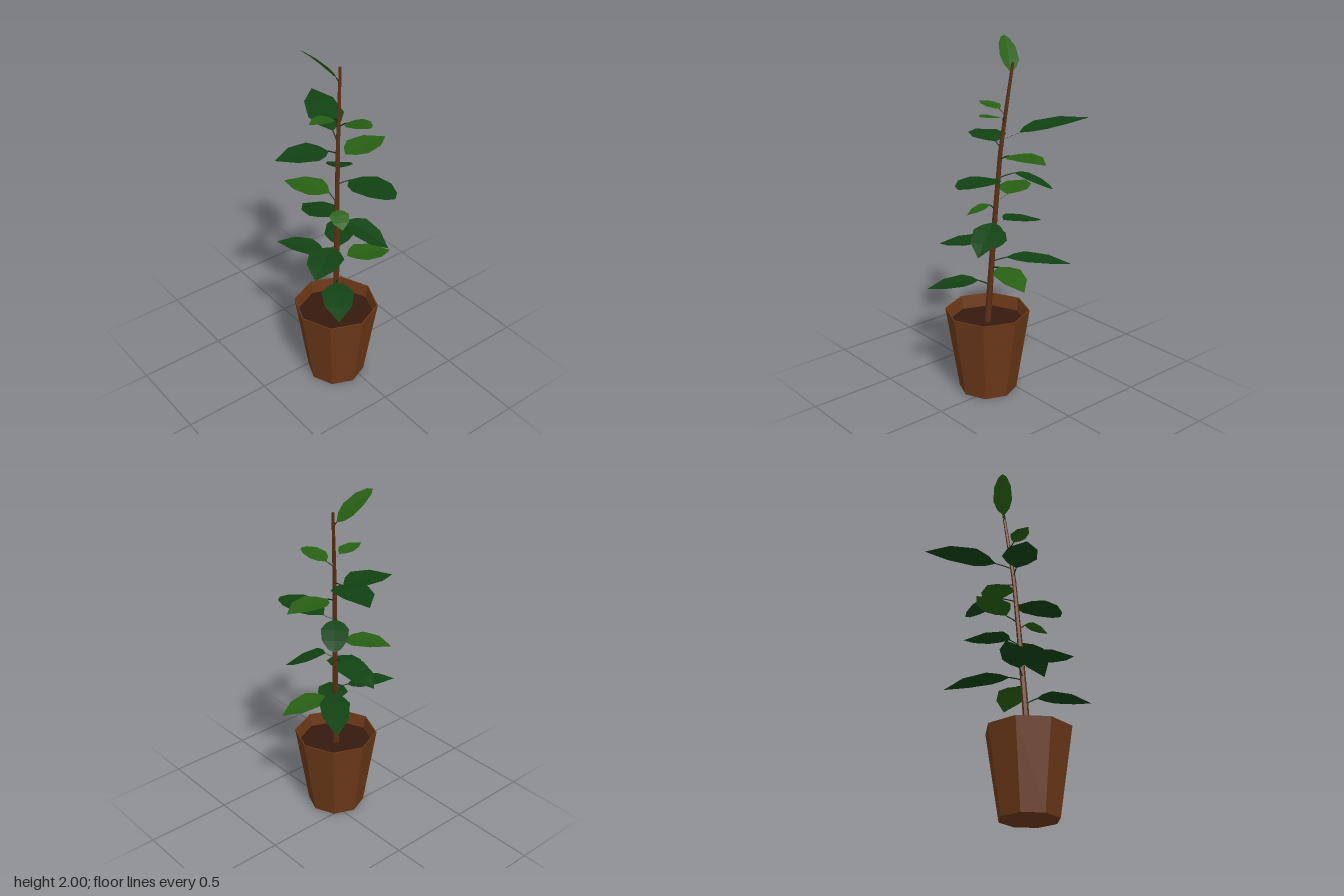
import * as THREE from 'three';

const mat = (color) => new THREE.MeshStandardMaterial({ color, flatShading: true, side: THREE.DoubleSide });
const V = (x, y, z) => new THREE.Vector3(x, y, z);

// Blade outlines: [fraction of length, fraction of half width]
const POINTED = [[0, 0.04], [0.12, 0.6], [0.3, 1], [0.66, 0.82], [1, 0]];
const ROUNDED = [[0, 0.04], [0.14, 0.65], [0.35, 1], [0.68, 0.9], [0.92, 0.45], [1, 0]];

// Folded blade from base to tip; `up` is the side the upper face looks to
function bladeGeometry(base, tip, half, outline, up) {
  const dir = tip.clone().sub(base);
  const length = dir.length();
  const side = dir.clone().cross(up).normalize();
  const normal = side.clone().cross(dir).normalize();
  const pos = [], index = [];
  outline.forEach(([t, w], i) => {
    const mid = base.clone().addScaledVector(dir, t)
      .addScaledVector(normal, Math.sin(t * Math.PI) * 0.03 * length);
    for (const s of [-1, 0, 1]) {
      const p = mid.clone().addScaledVector(side, s * w * half)
        .addScaledVector(normal, Math.abs(s) * w * half * 0.08);
      pos.push(p.x, p.y, p.z);
    }
    if (i === 0) return;
    const a = (i - 1) * 3, b = i * 3;
    for (const k of [0, 1]) {
      index.push(a + k, a + k + 1, b + k + 1, a + k, b + k + 1, b + k);
    }
  });
  const g = new THREE.BufferGeometry();
  g.setAttribute('position', new THREE.Float32BufferAttribute(pos, 3));
  g.setIndex(index);
  g.computeVertexNormals();
  return g;
}

export function createModel() {
  const root = new THREE.Group();
  root.name = 'pottedPlant';
  const add = (name, geometry, material, parent = root) => {
    const m = new THREE.Mesh(geometry, material);
    m.name = name;
    parent.add(m);
    return m;
  };
  const clay = mat(0x6b3818), earth = mat(0x35190d), bark = mat(0x5a2f14);
  const dark = mat(0x114213), light = mat(0x285f14), stalk = mat(0x16300f);

  // Octagonal pot: floor, outer wall, thin rim and inner wall down to the soil
  const profile = [[0, 0], [0.165, 0], [0.24, 0.485], [0.233, 0.485], [0.222, 0.41]];
  add('pot', new THREE.LatheGeometry(profile.map(([r, y]) => new THREE.Vector2(r, y)), 8), clay)
    .position.set(-0.06, 0, 0.113);
  const soil = add('soil', new THREE.CircleGeometry(0.224, 8), earth);
  soil.rotation.x = -Math.PI / 2;
  soil.position.set(-0.06, 0.41, 0.113);

  // Leaning stem built from tapered rings
  const stem = [V(-0.06, 0.4, 0.112), V(-0.045, 0.7, 0.098), V(-0.028, 1.05, 0.079),
    V(-0.008, 1.4, 0.058), V(0.016, 1.65, 0.035), V(0.042, 1.89, 0.012)];
  const stemAt = (y) => {
    let i = 0;
    while (i < stem.length - 2 && stem[i + 1].y < y) i++;
    return stem[i].clone().lerp(stem[i + 1], (y - stem[i].y) / (stem[i + 1].y - stem[i].y));
  };
  const sides = 6, pos = [], index = [];
  stem.forEach((p, i) => {
    const r = 0.019 - 0.011 * i / (stem.length - 1);
    for (let k = 0; k < sides; k++) {
      const a = k / sides * Math.PI * 2;
      pos.push(p.x + r * Math.cos(a), p.y, p.z + r * Math.sin(a));
      if (i === 0) continue;
      const n = (k + 1) % sides, lo = (i - 1) * sides, hi = i * sides;
      index.push(lo + k, hi + k, hi + n, lo + k, hi + n, lo + n);
    }
  });
  const top = (stem.length - 1) * sides;
  for (let k = 1; k < sides - 1; k++) index.push(top, top + k + 1, top + k);
  const stemGeo = new THREE.BufferGeometry();
  stemGeo.setAttribute('position', new THREE.Float32BufferAttribute(pos, 3));
  stemGeo.setIndex(index);
  stemGeo.computeVertexNormals();
  add('stem', stemGeo, bark);

  // Leaves, top to bottom: blade base, tip, half width, colour, outline, upward side
  const up = V(0, 1, 0);
  const leaves = [
    [V(0.02, 1.835, 0.008), V(-0.14, 2.0, -0.085), 0.058, light, ROUNDED, V(0.72, 0.69, 0)],
    [V(-0.03, 1.635, 0.045), V(-0.19, 1.655, 0.053), 0.05, light],
    [V(0.035, 1.6, 0.075), V(0.06, 1.635, 0.245), 0.062, light, ROUNDED],
    [V(0.035, 1.505, -0.04), V(0.18, 1.555, -0.42), 0.1, dark],
    [V(-0.06, 1.452, 0.045), V(-0.34, 1.455, -0.04), 0.1, dark],
    [V(0.05, 1.395, 0.05), V(0.335, 1.4, 0.04), 0.088, light],
    [V(0.04, 1.29, 0.0), V(0.18, 1.2, -0.155), 0.075, dark, ROUNDED],
    [V(0.03, 1.272, 0.11), V(0.085, 1.29, 0.42), 0.1, dark, ROUNDED],
    [V(-0.02, 1.155, 0.0), V(-0.145, 1.16, -0.245), 0.088, light],
    [V(-0.045, 1.11, 0.105), V(-0.1, 1.06, 0.22), 0.054, light],
    [V(0.01, 1.025, 0.12), V(0.13, 0.905, 0.33), 0.088, dark],
    [V(-0.02, 1.01, 0.025), V(-0.015, 0.95, -0.255), 0.09, dark],
    [V(-0.09, 0.885, 0.115), V(-0.31, 0.845, 0.255), 0.1, dark],
    [V(-0.09, 0.82, 0.045), V(-0.28, 0.865, -0.138), 0.075, dark],
    [V(0.02, 0.805, 0.04), V(0.242, 0.755, -0.25), 0.085, dark],
    [V(0.03, 0.765, 0.1), V(0.3, 0.715, 0.155), 0.085, light],
    [V(-0.085, 0.665, 0.155), V(-0.253, 0.622, 0.39), 0.09, dark],
  ];
  leaves.forEach(([base, tip, half, material, outline = POINTED, upward = up], i) => {
    const leaf = new THREE.Group();
    leaf.name = `leaf${i + 1}`;
    root.add(leaf);
    add('blade', bladeGeometry(base, tip, half, outline, upward), material, leaf);
    // Thin stalk from the stem to the blade
    const start = stemAt(base.y - 0.03);
    const bend = start.clone().lerp(base, 0.5).add(V(0, 0.004, 0));
    const path = new THREE.QuadraticBezierCurve3(start, bend, base);
    add('leafStalk', new THREE.TubeGeometry(path, 2, 0.0035, 4), stalk, leaf);
  });
  return root;
}
